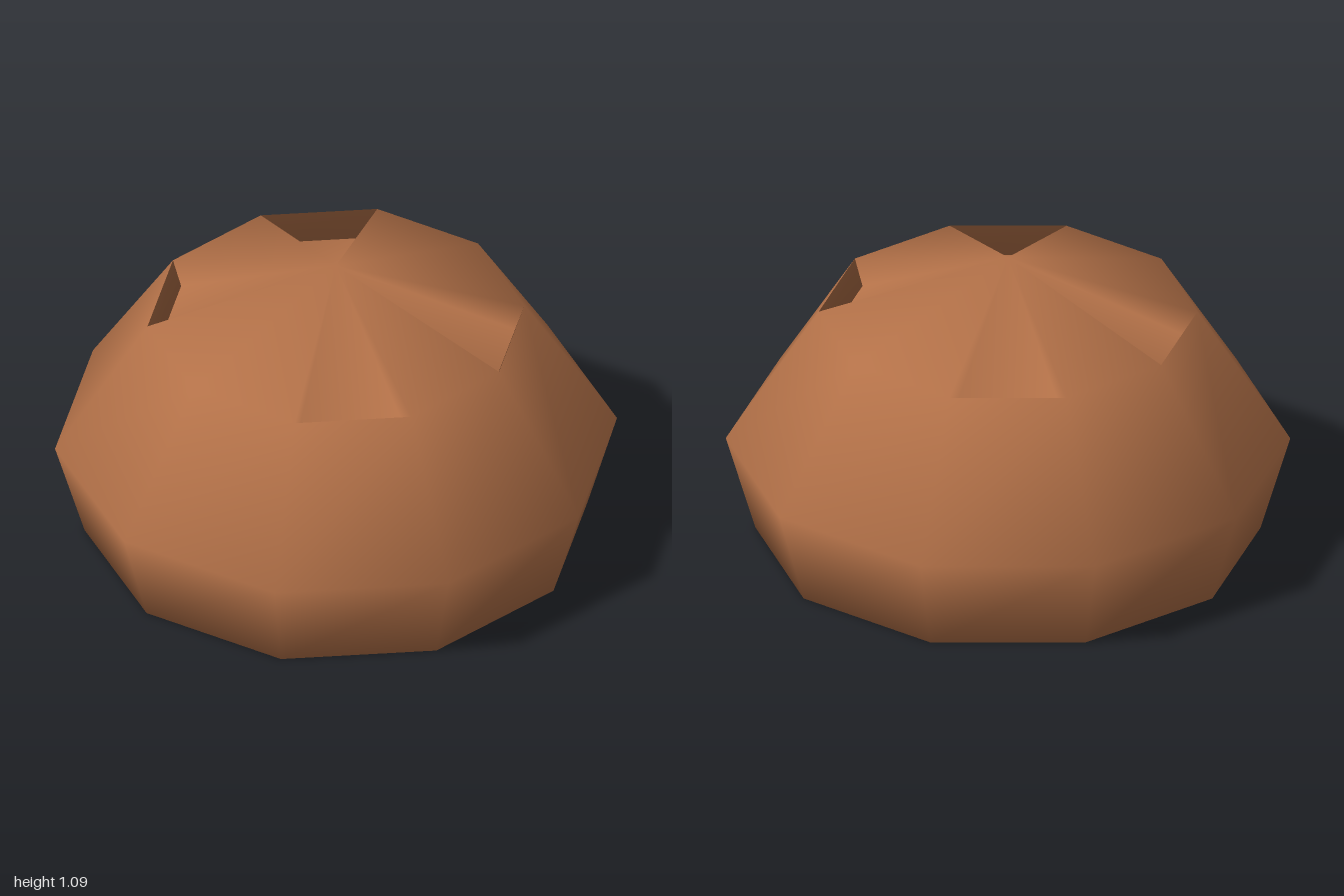
import * as THREE from 'three';

const SIDES = 10;
const APEX_Y = 1.09;
// [radius, height] of each ring, bottom to top
const RINGS = [[0.895, 0], [1.0, 0.36], [0.671, 0.87]];
// top segments that are cut by a wedge-shaped score
const SCORED = [1, 3, 6, 8];
const SCORE_DEPTH = 0.1;

function createBunGeometry() {
  const positions = [];
  const faces = [];
  const addVertex = (x, y, z) => positions.push(x, y, z) / 3 - 1;
  const ringVertex = (k, r, y) => {
    const a = (k / SIDES) * Math.PI * 2;
    return addVertex(r * Math.sin(a), y, r * Math.cos(a));
  };
  const tri = (a, b, c) => faces.push(a, b, c);
  const quad = (a, b, c, d) => { tri(a, b, c); tri(a, c, d); };

  const rings = RINGS.map(([r, y]) =>
    Array.from({ length: SIDES }, (_, k) => ringVertex(k, r, y)));
  const apex = addVertex(0, APEX_Y, 0);
  const base = addVertex(0, 0, 0);
  const [bottom, , top] = rings;
  const [topRadius, topY] = RINGS[2];

  for (let k = 0; k < SIDES; k++) {
    const n = (k + 1) % SIDES;
    // sides
    for (let i = 0; i < rings.length - 1; i++) {
      quad(rings[i][k], rings[i][n], rings[i + 1][n], rings[i + 1][k]);
    }
    // underside
    tri(base, bottom[n], bottom[k]);
    // crown, sunk into a wedge where it is scored
    if (SCORED.includes(k)) {
      const f0 = ringVertex(k, topRadius * 0.95, topY - SCORE_DEPTH);
      const f1 = ringVertex(k + 1, topRadius * 0.95, topY - SCORE_DEPTH);
      tri(f0, f1, apex);
      quad(f1, f0, top[k], top[n]);
      tri(apex, top[k], f0);
      tri(apex, f1, top[n]);
    } else {
      tri(top[k], top[n], apex);
    }
  }

  const geometry = new THREE.BufferGeometry();
  geometry.setAttribute('position', new THREE.Float32BufferAttribute(positions, 3));
  geometry.setIndex(faces);
  geometry.computeVertexNormals();
  return geometry;
}

export function createModel() {
  const group = new THREE.Group();
  group.name = 'scoredBun';
  const crust = new THREE.MeshStandardMaterial({ color: 0xb37148 });
  crust.name = 'crustBrown';
  const bun = new THREE.Mesh(createBunGeometry(), crust);
  bun.name = 'bun';
  group.add(bun);
  return group;
}
